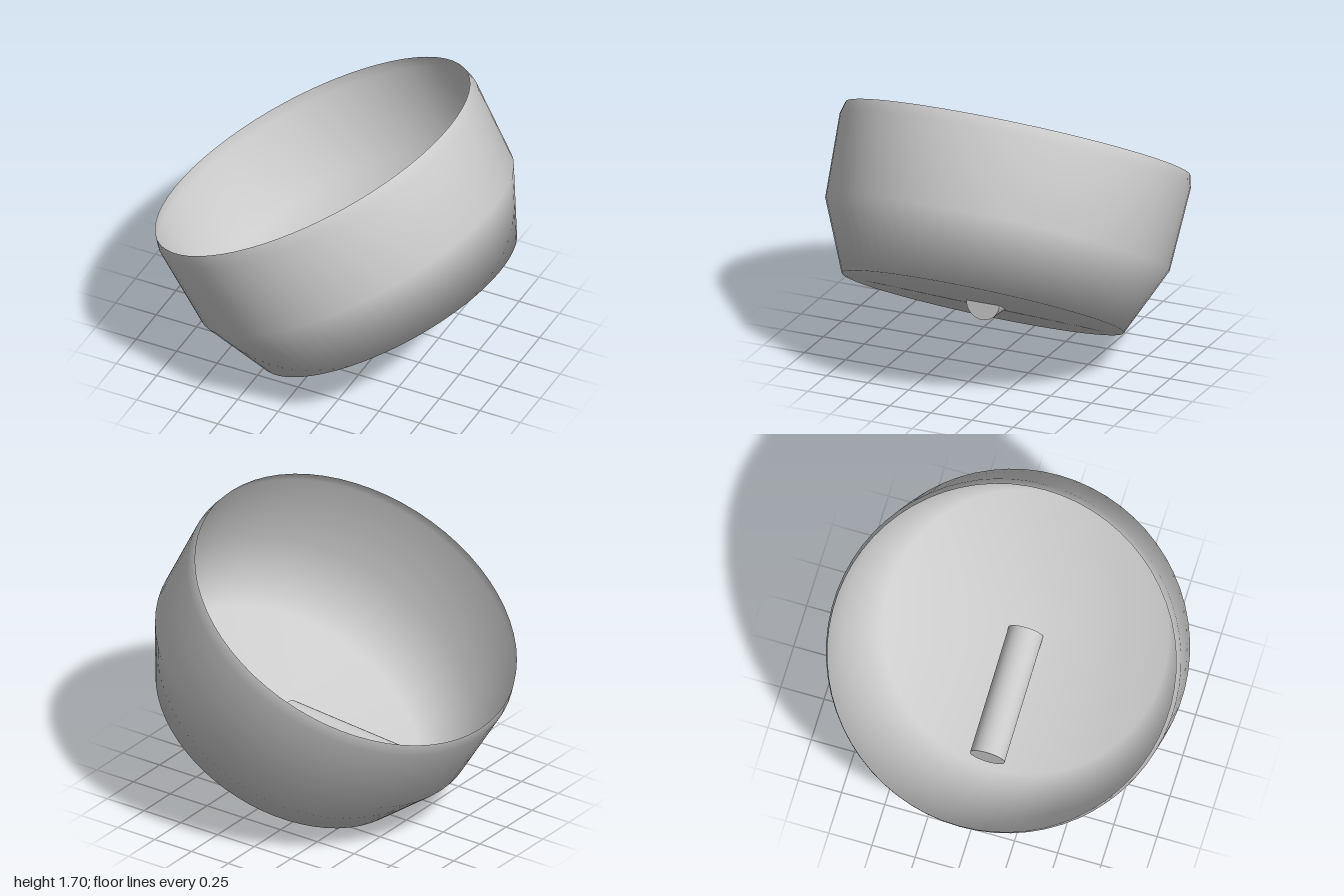
import * as THREE from 'three';

export function createModel() {
  const group = new THREE.Group();
  const grey = new THREE.MeshStandardMaterial({ color: 0xcccccc, side: THREE.DoubleSide });
  grey.name = 'light grey';

  // Both parts pivot on the centre of the bowl's floor
  const pivot = new THREE.Vector3(0.31, 0.4, 0);

  // Thin open bowl, tilted 30 degrees, softly shaded from floor to rim
  const profile = [[0, 0], [0.8, 0], [0.976, 0.39], [0.995, 0.865], [0.977, 0.935]]
    .map(([r, h]) => new THREE.Vector2(r, h));
  const bowl = new THREE.Mesh(new THREE.LatheGeometry(profile, 64), grey);
  bowl.name = 'bowl';
  bowl.position.copy(pivot);
  bowl.rotation.z = Math.PI / 6;
  group.add(bowl);

  // Nearly level rod that pokes through the floor
  const length = 0.75;
  const rodGeometry = new THREE.CylinderGeometry(0.1, 0.1, length, 32);
  rodGeometry.translate(0, length / 2, 0);
  const rod = new THREE.Mesh(rodGeometry, grey);
  rod.name = 'rod';
  rod.position.copy(pivot);
  rod.rotation.z = THREE.MathUtils.degToRad(95);
  group.add(rod);

  return group;
}
